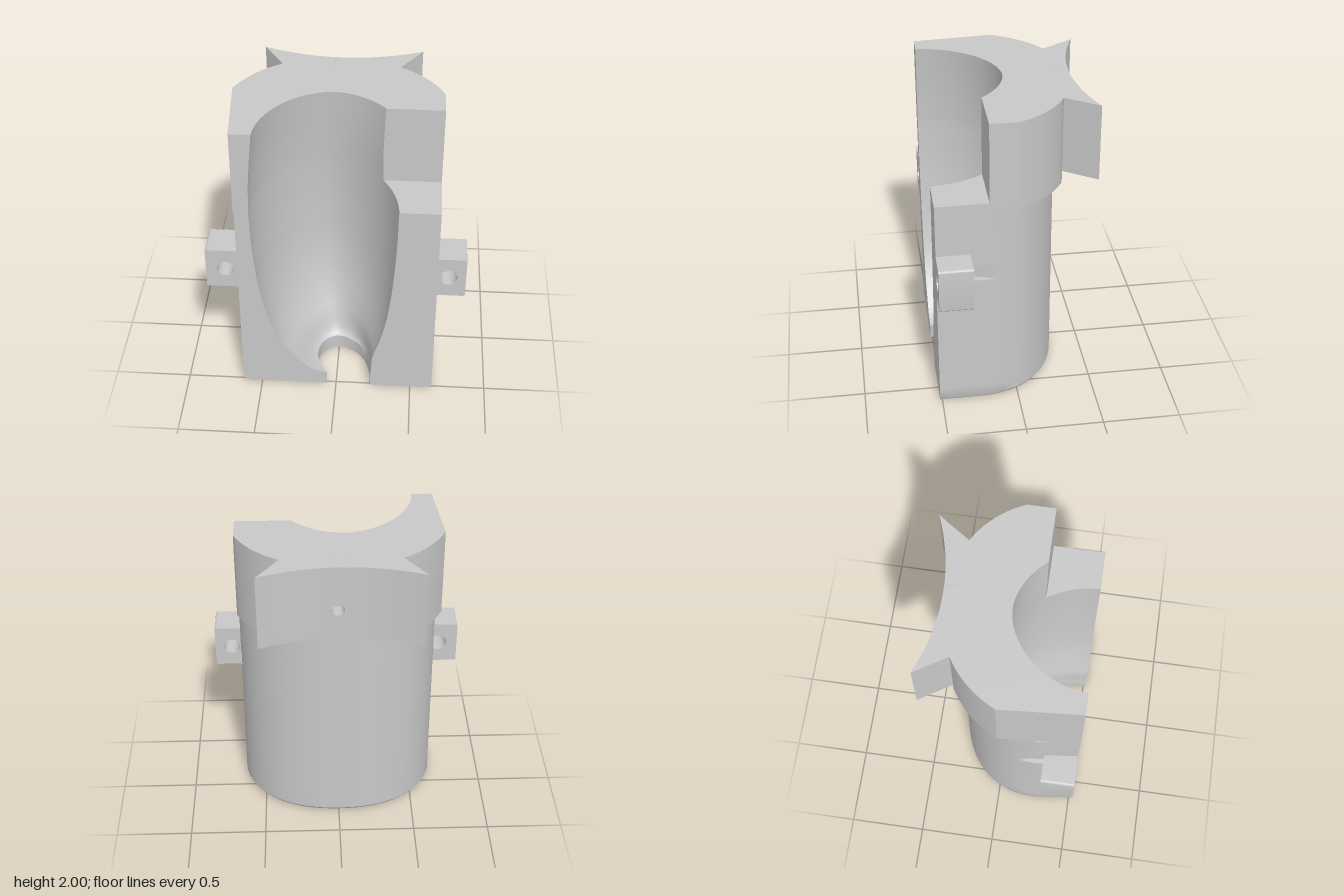
import * as THREE from 'three';
import { toCreasedNormals } from 'three/addons/utils/BufferGeometryUtils.js';

const N = 48;          // points across each cross-section
const FRONT = 0.515;   // flat front plane
const V2 = (x, z) => new THREE.Vector2(x, z);
const lerp = THREE.MathUtils.lerp;

// Cavity rows: height, left x and right x at the front, deepest z
const CAVITY = [
  [0.25, -0.28, 0.24, 0.07], [0.3, -0.32, 0.255, 0.05], [0.4, -0.38, 0.287, 0.015],
  [0.5, -0.42, 0.312, -0.015], [0.6, -0.45, 0.332, -0.035], [0.7, -0.472, 0.345, -0.05],
  [0.8, -0.49, 0.356, -0.058], [0.9, -0.504, 0.365, -0.062], [1.1, -0.523, 0.378, -0.062],
  [1.25, -0.531, 0.384, -0.057], [1.42, -0.535, 0.387, -0.046], [1.47, -0.535, 0.388, -0.042],
  [1.65, -0.527, 0.39, -0.025], [1.8, -0.515, 0.4, -0.01], [2.0, -0.495, 0.42, 0.01],
];
const BULGE = 1.85;    // roundness exponent of the cavity sections

// Outlet slot through the floor
const OUTLET = new THREE.SplineCurve([[-0.06, 0.515], [-0.115, 0.42], [-0.135, 0.32], [-0.1, 0.21],
  [-0.01, 0.15], [0.1, 0.19], [0.18, 0.28], [0.22, 0.4], [0.23, 0.515]].map(p => V2(...p)));

function cavitySection(y, zEnd) {
  let k = 1;
  while (k < CAVITY.length - 1 && CAVITY[k][0] < y) k++;
  const a = CAVITY[k - 1], b = CAVITY[k];
  const f = THREE.MathUtils.clamp((y - a[0]) / (b[0] - a[0]), 0, 1);
  const [xl, xr, zb] = [1, 2, 3].map(i => lerp(a[i], b[i], f));
  const depth = FRONT - zb, end = Math.asin(((FRONT - zEnd) / depth) ** (BULGE / 2));
  return Array.from({ length: N + 1 }, (_, i) => {
    const t = lerp(Math.PI, end, i / N), c = Math.cos(t);
    return V2((xl + xr) / 2 + (xr - xl) / 2 * Math.sign(c) * Math.abs(c) ** (2 / BULGE),
      FRONT - depth * Math.max(0, Math.sin(t)) ** (2 / BULGE));
  });
}

// Outlet at the bottom, flaring into the cavity
function innerSection(y, zEnd) {
  const cavity = cavitySection(y, zEnd);
  if (y >= 0.25) return cavity;
  const f = Math.sqrt(Math.max(0, (y - 0.1) / 0.15));
  return OUTLET.getPoints(N).map((p, i) => p.lerp(cavity[i], f));
}

// Joins curves end to end, each sampled with its own count
function chain(parts) {
  const pts = [parts[0][0].getPoint(0)];
  for (const [curve, n] of parts) pts.push(...curve.getPoints(n).slice(1));
  return pts;
}
const line = (a, b) => new THREE.LineCurve(V2(...a), V2(...b));
const bend = (a, c, b) => new THREE.QuadraticBezierCurve(V2(...a), V2(...c), V2(...b));

// Rounded outline of the lower body; inset shrinks it, notch sinks the screw grooves
function lowerOutline(inset = 0, notch = false) {
  const e = 2 / 2.22;
  return Array.from({ length: N + 1 }, (_, i) => {
    let x, z;
    if (i < 5) [x, z] = [lerp(-0.625, -0.655, i / 5), lerp(FRONT, 0.25, i / 5)];
    else if (i > N - 5) [x, z] = [0.645, lerp(FRONT, 0.25, (N - i) / 5)];
    else {
      const t = Math.PI * (1 - (i - 5) / (N - 10)), c = Math.cos(t);
      x = -0.005 + 0.65 * Math.sign(c) * Math.abs(c) ** e;
      z = 0.25 - 0.55 * Math.max(0, Math.sin(t)) ** e;
    }
    if (notch && z < 0.4) {
      const limit = 0.64 - 0.3 * Math.max(0, z - 0.14);
      x = THREE.MathUtils.clamp(x, -limit - 0.01, limit);
    }
    return V2(x * (1 - inset), lerp(z, FRONT, inset));
  });
}

// Angular outline of the collar, ending on the right side at zEnd
function collarOutline(zEnd) {
  return chain([
    [line([-0.63, FRONT], [-0.67, 0]), 8],
    [bend([-0.67, 0], [-0.57, -0.205], [-0.39, -0.31]), 10],
    [line([-0.39, -0.31], [0.36, -0.31]), 12],
    [bend([0.36, -0.31], [0.555, -0.205], [0.645, 0]), 10],
    [line([0.645, 0], [0.645, zEnd]), 8],
  ]);
}

// Lofts a C-shaped wall through stacked rings { y, outer, inner } and closes it
function loftWall(rings) {
  const pos = [];
  const quad = (a, b, c, d) => { for (const v of [a, b, c, a, c, d]) pos.push(...v); };
  const O = rings.map(r => r.outer.map(p => [p.x, r.y, p.y]));
  const I = rings.map(r => r.inner.map(p => [p.x, r.y, p.y]));
  const top = rings.length - 1;
  for (let j = 0; j < top; j++) {
    for (let i = 0; i < N; i++) {
      quad(O[j][i], O[j + 1][i], O[j + 1][i + 1], O[j][i + 1]);
      quad(I[j][i], I[j][i + 1], I[j + 1][i + 1], I[j + 1][i]);
    }
    quad(O[j][0], I[j][0], I[j + 1][0], O[j + 1][0]);
    quad(I[j][N], O[j][N], O[j + 1][N], I[j + 1][N]);
  }
  for (let i = 0; i < N; i++) {
    quad(O[top][i], I[top][i], I[top][i + 1], O[top][i + 1]);
    quad(O[0][i], O[0][i + 1], I[0][i + 1], I[0][i]);
  }
  const g = new THREE.BufferGeometry();
  g.setAttribute('position', new THREE.Float32BufferAttribute(pos, 3));
  return toCreasedNormals(g, 0.55);
}

// Rectangle with rounded corners and a round hole
function drilledRect(x0, x1, y0, y1, r, hx, hy, hr) {
  const s = new THREE.Shape();
  s.moveTo(x0 + r, y0);
  s.lineTo(x1 - r, y0); s.quadraticCurveTo(x1, y0, x1, y0 + r);
  s.lineTo(x1, y1 - r); s.quadraticCurveTo(x1, y1, x1 - r, y1);
  s.lineTo(x0 + r, y1); s.quadraticCurveTo(x0, y1, x0, y1 - r);
  s.lineTo(x0, y0 + r); s.quadraticCurveTo(x0, y0, x0 + r, y0);
  s.holes.push(new THREE.Path().absarc(hx, hy, hr, 0, Math.PI * 2, true));
  return s;
}

export function createModel() {
  const group = new THREE.Group();
  const grey = new THREE.MeshStandardMaterial({ color: 0xc8c8c8 });
  grey.name = 'grey';
  const add = (name, geometry) => {
    const m = new THREE.Mesh(geometry, grey);
    m.name = name;
    group.add(m);
    return m;
  };

  // Lower body with rounded bottom edge and screw grooves
  const lower = [[0, 0.035], [0.007, 0.015], [0.025, 0], [0.1, 0], [0.11, 0], [0.13, 0], [0.16, 0], [0.2, 0]]
    .concat(CAVITY.filter(r => r[0] <= 1.42).map(r => [r[0], 0]))
    .concat([[0.925, 0], [0.926, 0, true], [1.029, 0, true], [1.03, 0]])
    .sort((a, b) => a[0] - b[0])
    .map(([y, inset, notch]) => ({ y, outer: lowerOutline(inset, notch), inner: innerSection(y, FRONT) }));
  add('lowerBody', loftWall(lower));

  // Overhanging collar: a thin full band, then the part cut away at the front
  const band = (ys, zEnd) => loftWall(ys.map(y => ({ y, outer: collarOutline(zEnd), inner: innerSection(y, zEnd) })));
  add('collarBand', band([1.42, 1.47], FRONT));
  add('collar', band([1.47, 1.55, 1.65, 1.72, 1.8, 1.9, 2], 0.18));

  // Side tabs with screw holes
  for (const [name, x0, x1, hx] of [['rightTab', -0.825, -0.6, -0.7], ['leftTab', 0.6, 0.822, 0.712]]) {
    const g = new THREE.ExtrudeGeometry(drilledRect(x0, x1, 0.83, 1.12, 0.015, hx, 0.975, 0.055),
      { depth: FRONT - 0.3, bevelEnabled: false, curveSegments: 16 });
    add(name, toCreasedNormals(g, 0.6)).position.z = 0.3;
  }

  // Flared mounting plate with a concave back, in two wings
  const backZ = x => -0.41 - 0.105 * ((x + 0.01) / 0.51) ** 2;
  for (const [name, neck, tip, mid] of [['rightWing', -0.39, -0.52, -0.06], ['leftWing', 0.36, 0.5, 0.06]]) {
    const s = new THREE.Shape();
    s.moveTo(mid, 0.31);
    s.lineTo(neck, 0.31);
    for (let i = 0; i <= 14; i++) {
      const x = lerp(tip, mid, i / 14);
      s.lineTo(x, -backZ(x));
    }
    const g = new THREE.ExtrudeGeometry(s, { depth: 0.5, bevelEnabled: false });
    g.rotateX(-Math.PI / 2);
    add(name, toCreasedNormals(g, 0.4)).position.y = 1.5;
  }

  // Centre of the plate with a blind hole
  const centre = new THREE.ExtrudeGeometry(drilledRect(-0.06, 0.06, 1.5, 2, 0.001, 0.01, 1.705, 0.042),
    { depth: 0.101, bevelEnabled: false, curveSegments: 16 });
  add('plateCentre', toCreasedNormals(centre, 0.6)).position.z = -0.411;

  return group;
}
